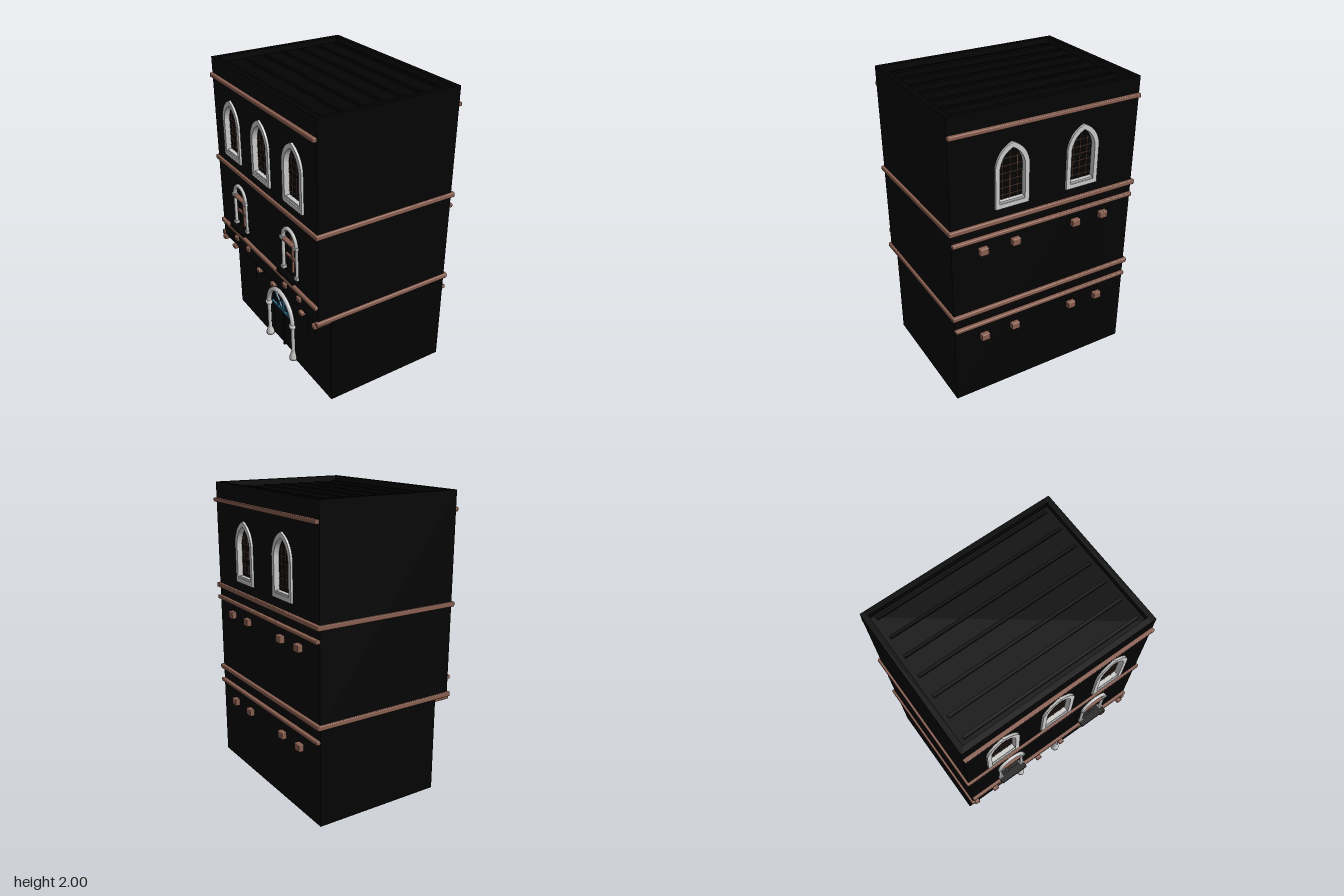
import * as THREE from 'three';
import { RoundedBoxGeometry } from 'three/addons/geometries/RoundedBoxGeometry.js';

const mat = (color, side = THREE.FrontSide) => new THREE.MeshStandardMaterial({ color, side });
const black = mat(0x030303), brown = mat(0x8a5f50), stone = mat(0xcccccc);
const leadBrown = mat(0x5e4034), blue = mat(0x2f6f8f);

function add(parent, name, geometry, material, x = 0, y = 0, z = 0) {
  const mesh = new THREE.Mesh(geometry, material);
  mesh.name = name;
  mesh.position.set(x, y, z);
  parent.add(mesh);
  return mesh;
}
const box = (parent, name, material, w, h, d, x, y, z) =>
  add(parent, name, new THREE.BoxGeometry(w, h, d), material, x, y, z);
const trim = (parent, name, w, h, d, x, y, z) =>
  add(parent, name, new RoundedBoxGeometry(w, h, d, 1, 0.006), brown, x, y, z);

// Outlines: pointed arch, round arch and rectangle, centred on cx
function pointed(Type, cx, y0, spring, apex, hw) {
  const s = new Type();
  s.moveTo(cx - hw, y0);
  s.lineTo(cx + hw, y0);
  s.lineTo(cx + hw, spring);
  s.quadraticCurveTo(cx + hw * 0.85, spring + (apex - spring) * 0.72, cx, apex);
  s.quadraticCurveTo(cx - hw * 0.85, spring + (apex - spring) * 0.72, cx - hw, spring);
  s.closePath();
  return s;
}
function rounded(Type, cx, y0, spring, r) {
  const s = new Type();
  s.moveTo(cx - r, y0);
  s.lineTo(cx + r, y0);
  s.lineTo(cx + r, spring);
  s.absarc(cx, spring, r, 0, Math.PI, false);
  s.closePath();
  return s;
}
function rect(Type, x0, y0, x1, y1) {
  const s = new Type();
  s.moveTo(x0, y0);
  s.lineTo(x1, y0);
  s.lineTo(x1, y1);
  s.lineTo(x0, y1);
  s.closePath();
  return s;
}
// Slab whose outer face lies at local z = front
function slab(parent, name, shape, depth, material, front = 0) {
  const g = new THREE.ExtrudeGeometry(shape, { depth, bevelEnabled: false, curveSegments: 10 });
  g.translate(0, 0, front - depth);
  return add(parent, name, g, material);
}

// Side group: local z points out of the wall, local x runs along it
function sideGroup(root, name, sign, x) {
  const g = new THREE.Group();
  g.name = name;
  g.rotation.y = sign * Math.PI / 2;
  g.position.x = x;
  root.add(g);
  return g;
}

const pointedHole = (cx) => pointed(THREE.Path, cx, 1.385, 1.62, 1.74, 0.088);
const roundHole = (cx) => rounded(THREE.Path, cx, 0.86, 1.09, 0.08);

function pointedWindow(parent, cx) {
  const g = new THREE.Group();
  g.name = 'pointedWindow';
  g.position.x = cx;
  parent.add(g);
  const frame = pointed(THREE.Shape, 0, 1.36, 1.63, 1.775, 0.115);
  frame.holes.push(pointed(THREE.Path, 0, 1.39, 1.62, 1.74, 0.086));
  slab(g, 'windowFrame', frame, 0.04, stone, 0.015);
  slab(g, 'windowGlass', pointed(THREE.Shape, 0, 1.37, 1.62, 1.745, 0.09), 0.01, black, -0.022);
  box(g, 'windowSill', stone, 0.17, 0.014, 0.03, 0, 1.395, -0.008);
  // Lattice bars
  for (const x of [-0.05, 0, 0.05])
    box(g, 'latticeUpright', leadBrown, 0.004, x ? 0.29 : 0.34, 0.004, x, x ? 1.535 : 1.56, -0.02);
  for (let i = 0; i < 6; i++)
    box(g, 'latticeBar', leadBrown, i < 5 ? 0.17 : 0.13, 0.004, 0.004, 0, 1.43 + i * 0.047, -0.02);
}

function archedWindow(parent, cx) {
  const g = new THREE.Group();
  g.name = 'archedWindow';
  g.position.x = cx;
  parent.add(g);
  slab(g, 'windowGlass', rounded(THREE.Shape, 0, 0.85, 1.09, 0.085), 0.01, black, -0.024);
  add(g, 'windowArch', new THREE.TorusGeometry(0.085, 0.014, 8, 20, Math.PI), stone, 0, 1.09, 0.004);
  for (const s of [-1, 1]) {
    add(g, 'windowShaft', new THREE.CylinderGeometry(0.011, 0.011, 0.22, 10), stone, s * 0.085, 0.97, 0.004);
    box(g, 'windowCapital', stone, 0.034, 0.02, 0.034, s * 0.085, 1.085, 0.004);
    box(g, 'windowShaftBase', stone, 0.032, 0.018, 0.03, s * 0.085, 0.868, 0.004);
  }
  box(g, 'mullion', brown, 0.014, 0.3, 0.014, 0, 1.01, -0.015);
  trim(g, 'transom', 0.16, 0.02, 0.035, 0, 1.08, 0.002);
  box(g, 'lowerTransom', brown, 0.16, 0.014, 0.014, 0, 0.96, -0.015);
  box(g, 'windowLedge', black, 0.2, 0.02, 0.07, 0, 0.847, 0.015);
}

function doorway(parent) {
  const g = new THREE.Group();
  g.name = 'doorway';
  parent.add(g);
  slab(g, 'door', rounded(THREE.Shape, 0, 0, 0.3, 0.165), 0.012, black, -0.025);
  add(g, 'doorArch', new THREE.TorusGeometry(0.172, 0.018, 8, 28, Math.PI), stone, 0, 0.3, 0.008);
  // Turned columns with flared base and capital
  const profile = [[0, 0], [0.03, 0], [0.03, 0.02], [0.02, 0.05], [0.014, 0.07], [0.013, 0.26],
    [0.022, 0.275], [0.026, 0.285], [0.026, 0.3], [0, 0.3]].map(p => new THREE.Vector2(...p));
  for (const s of [-1, 1])
    add(g, 'doorColumn', new THREE.LatheGeometry(profile, 12), stone, s * 0.172, 0, 0.008);
  // Fanlight bars
  box(g, 'fanlightRail', blue, 0.32, 0.014, 0.014, 0, 0.3, -0.015);
  for (let i = 1; i < 4; i++) {
    const a = i * Math.PI / 4;
    const bar = box(g, 'fanlightBar', blue, 0.155, 0.012, 0.012, Math.cos(a) * 0.08, 0.3 + Math.sin(a) * 0.08, -0.015);
    bar.rotation.z = a;
  }
  add(g, 'fanlightRing', new THREE.TorusGeometry(0.075, 0.006, 6, 14, Math.PI), blue, 0, 0.3, -0.015);
  box(g, 'doorSeam', black, 0.012, 0.29, 0.014, 0, 0.145, -0.018);
}

export function createModel() {
  const root = new THREE.Group();
  root.name = 'townHouse';

  // Front and back walls, with the upper storeys overhanging on one side
  for (const s of [-1, 1]) {
    box(root, 'upperEndWall', black, 0.995, 1.35, 0.035, 0.0075, 1.325, s * 0.6425);
    box(root, 'lowerEndWall', black, 0.895, 0.65, 0.035, 0.0575, 0.325, s * 0.6425);
  }
  box(root, 'overhangFloor', black, 0.95, 0.02, 1.27, 0.0075, 0.66, 0);

  // Sunken roof deck with ribs
  box(root, 'roofDeck', black, 0.95, 0.02, 1.27, 0.0075, 1.95, 0);
  for (let i = 0; i < 7; i++)
    box(root, 'roofRib', black, 0.02, 0.012, 1.19, -0.41 + i * 0.142, 1.965, 0);

  // Left side: two pointed windows, string courses and square blocks
  const left = sideGroup(root, 'leftSide', 1, 0.505);
  const leftWall = rect(THREE.Shape, -0.66, 0, 0.66, 2);
  for (const x of [-0.25, 0.25]) leftWall.holes.push(pointedHole(x));
  slab(left, 'leftWall', leftWall, 0.035, black);
  for (const x of [-0.25, 0.25]) pointedWindow(left, x);
  for (const y of [0.565, 1.195, 1.88])
    trim(left, 'stringCourse', 1.32, 0.026, 0.03, 0, y, 0.01);
  for (const y of [0.455, 1.105])
    for (const x of [-0.45, -0.225, 0.22, 0.435])
      trim(left, 'wallBlock', 0.06, 0.05, 0.04, x, y, 0.012);

  // Right side, upper storeys
  const right = sideGroup(root, 'rightSide', -1, -0.49);
  const rightWall = rect(THREE.Shape, -0.66, 0.65, 0.66, 2);
  for (const x of [-0.4, 0, 0.4]) rightWall.holes.push(pointedHole(x));
  for (const x of [-0.34, 0.34]) rightWall.holes.push(roundHole(x));
  slab(right, 'rightUpperWall', rightWall, 0.035, black);
  for (const x of [-0.4, 0, 0.4]) pointedWindow(right, x);
  for (const x of [-0.34, 0.34]) archedWindow(right, x);
  for (const y of [0.78, 1.88])
    trim(right, 'stringCourse', 1.32, 0.028, 0.03, 0, y, 0.007);
  for (const x of [-0.44, -0.26, 0.26, 0.44])
    trim(right, 'wallBlock', 0.045, 0.036, 0.03, x, 0.72, 0.002);

  // Joists carrying the overhang
  for (const z of [-0.635, -0.475, -0.1, 0.1, 0.475, 0.635])
    trim(root, 'joist', 0.15, 0.03, 0.04, -0.438, 0.637, z);
  box(root, 'innerBeam', brown, 0.03, 0.02, 1.25, -0.34, 0.64, 0);

  // Right side, ground storey with doorway and two small openings
  const ground = sideGroup(root, 'groundSide', -1, -0.39);
  const groundWall = new THREE.Shape();
  groundWall.moveTo(-0.66, 0);
  groundWall.lineTo(-0.16, 0);
  groundWall.lineTo(-0.16, 0.3);
  groundWall.absarc(0, 0.3, 0.16, Math.PI, 0, true);
  groundWall.lineTo(0.16, 0);
  groundWall.lineTo(0.66, 0);
  groundWall.lineTo(0.66, 0.65);
  groundWall.lineTo(-0.66, 0.65);
  groundWall.closePath();
  for (const x of [-0.42, 0.42]) {
    groundWall.holes.push(rect(THREE.Path, x - 0.045, 0.37, x + 0.045, 0.53));
    box(ground, 'smallWindowPane', black, 0.1, 0.17, 0.008, x, 0.45, -0.03);
  }
  slab(ground, 'rightGroundWall', groundWall, 0.035, black);
  doorway(ground);

  // Moulded floor bands around the house
  for (const y of [0.665, 1.28]) {
    for (const s of [-1, 1])
      trim(root, 'floorBand', 1.03, 0.032, 0.03, 0.01, y, s * 0.661);
    trim(root, 'floorBand', 0.03, 0.032, 1.35, 0.511, y, 0);
  }
  trim(root, 'floorBand', 0.03, 0.032, 1.35, -0.491, 1.28, 0);

  return root;
}
